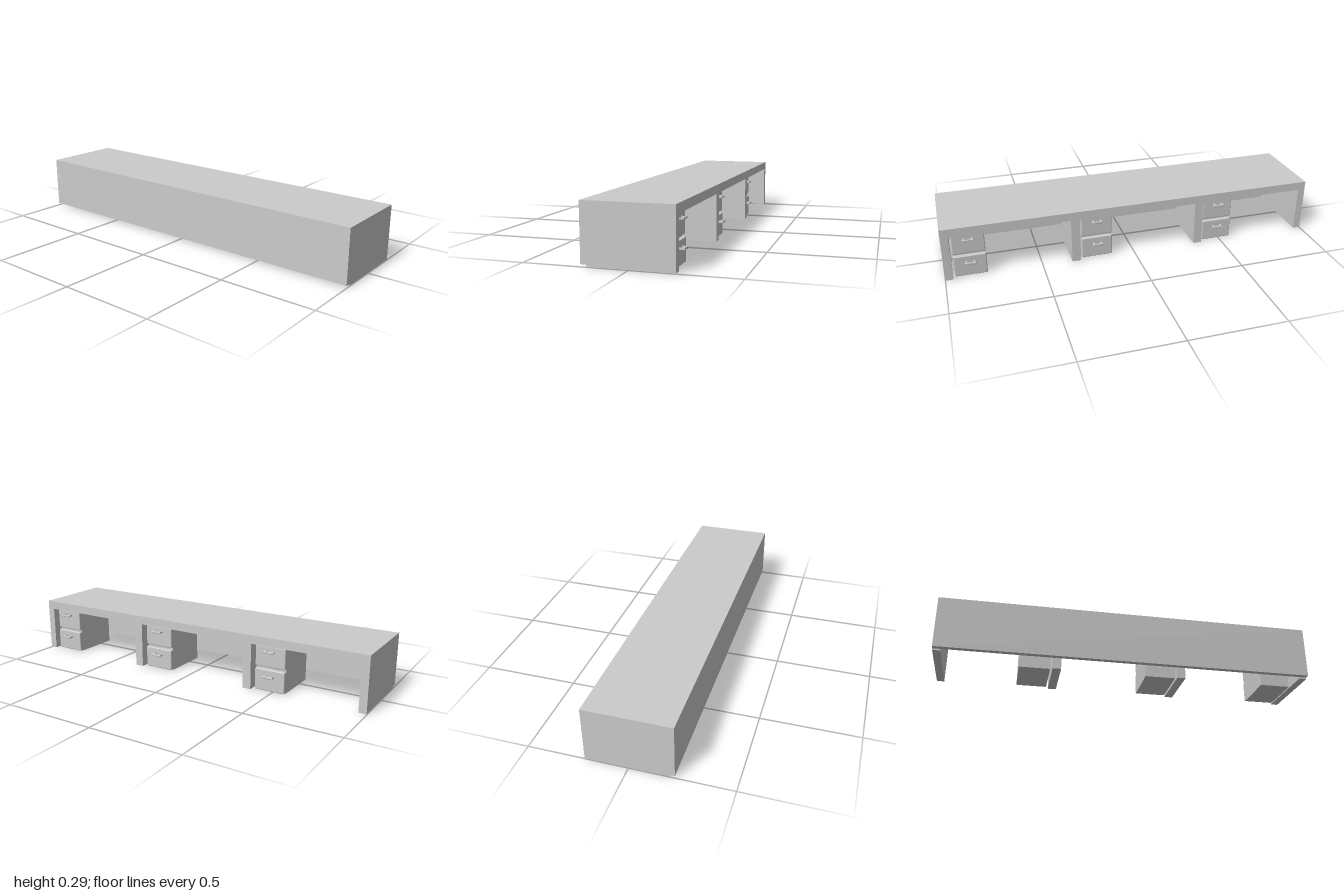
import * as THREE from 'three';
import { RoundedBoxGeometry } from 'three/addons/geometries/RoundedBoxGeometry.js';

const grey = new THREE.MeshStandardMaterial({ color: 0xcccccc });

// Box given by its extents along each axis; a radius rounds its edges
function block(name, [x0, x1], [y0, y1], [z0, z1], radius = 0) {
  const size = [x1 - x0, y1 - y0, z1 - z0];
  const geometry = radius
    ? new RoundedBoxGeometry(...size, 2, radius)
    : new THREE.BoxGeometry(...size);
  const mesh = new THREE.Mesh(geometry, grey);
  mesh.name = name;
  mesh.position.set((x0 + x1) / 2, (y0 + y1) / 2, (z0 + z1) / 2);
  return mesh;
}

// Bar handle on two posts
function createHandle(face, y, z) {
  const handle = new THREE.Group();
  handle.name = 'handle';
  handle.add(block('handleBar', [face + 0.02, face + 0.028], [y - 0.006, y + 0.006], [z - 0.029, z + 0.029], 0.003));
  for (const s of [-1, 1]) {
    const post = z + s * 0.02;
    handle.add(block('handlePost', [face - 0.002, face + 0.022], [y - 0.004, y + 0.004], [post - 0.004, post + 0.004]));
  }
  return handle;
}

// Two-drawer pedestal opening towards +x
function createPedestal(z) {
  const pedestal = new THREE.Group();
  pedestal.name = 'drawerPedestal';
  const half = 0.083;
  pedestal.add(block('pedestalBody', [-0.075, 0.17], [0, 0.241], [z - half, z + half]));
  const drawers = [
    { y: [0.002, 0.116], face: 0.19, handleY: 0.082 },
    { y: [0.128, 0.239], face: 0.186, handleY: 0.213 },
  ];
  for (const d of drawers) {
    pedestal.add(block('drawerFront', [0.165, d.face], d.y, [z - half, z + half], 0.005));
    pedestal.add(createHandle(d.face, d.handleY, z));
  }
  return pedestal;
}

export function createModel() {
  const desk = new THREE.Group();
  desk.name = 'longDesk';

  // Worktop and full-length back panel
  desk.add(block('worktop', [-0.193, 0.213], [0.246, 0.291], [-1, 1]));
  desk.add(block('backPanel', [-0.22, -0.193], [0.012, 0.291], [-1, 1]));

  // End panels
  for (const s of [-1, 1]) {
    const z = s * 0.98;
    desk.add(block('endPanel', [-0.193, 0.213], [0.003, 0.246], [z - 0.02, z + 0.02]));
  }

  // Dividers between the three workplaces
  for (const z of [0.321, -0.364]) {
    desk.add(block('divider', [-0.08, 0.213], [0.003, 0.246], [z - 0.023, z + 0.023]));
  }

  // Drawer pedestals
  for (const z of [0.867, 0.203, -0.482]) desk.add(createPedestal(z));

  return desk;
}
